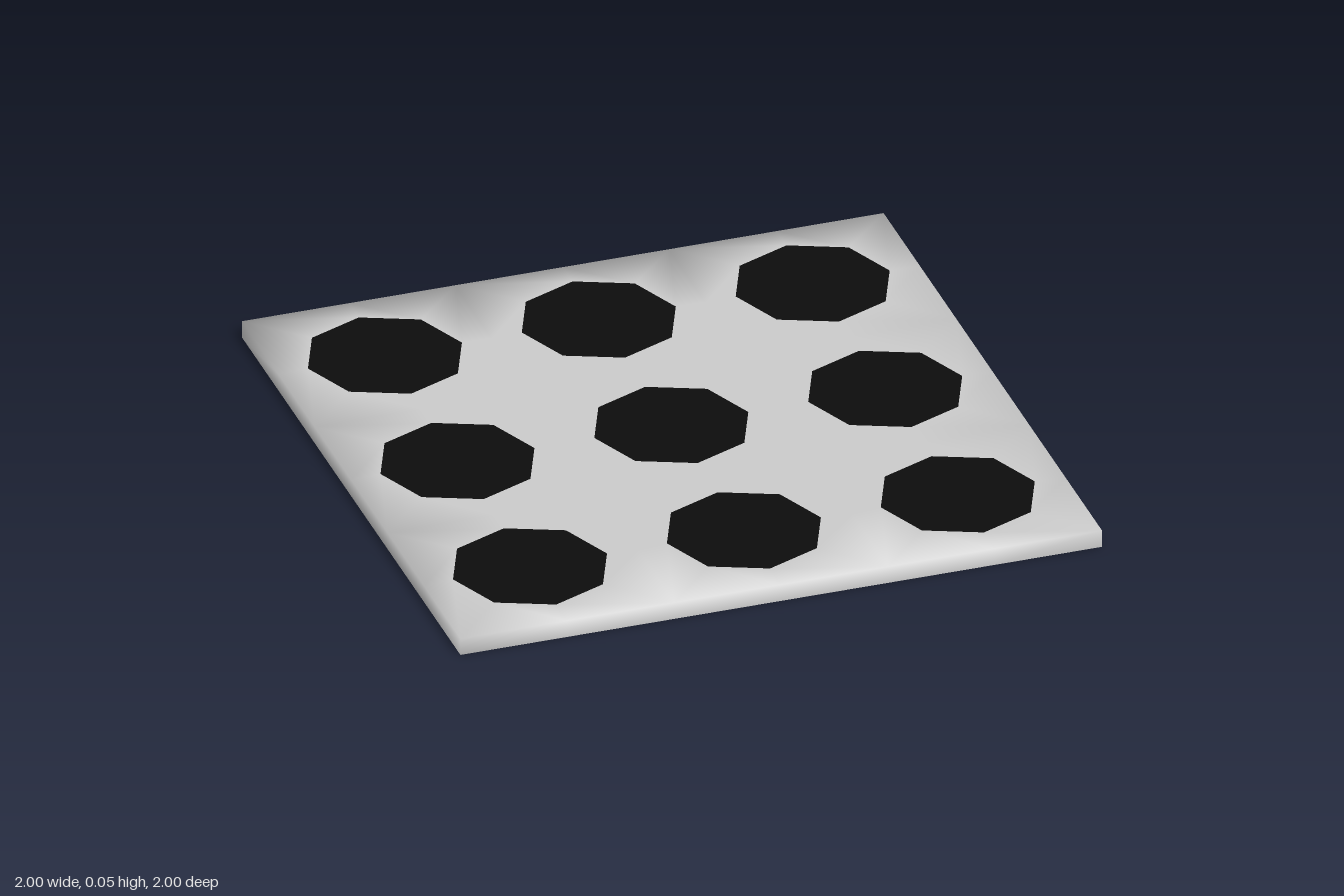
import * as THREE from 'three';

const H = 0.055;         // tray height
const R = 0.24;          // octagon radius
const CELL = 2 / 3;
const STEP_Z = 0.664, SHIFT_Z = -0.006;

export function createModel() {
  const group = new THREE.Group();
  const grey = new THREE.MeshStandardMaterial({ color: 0xcccccc, side: THREE.DoubleSide });
  const black = new THREE.MeshStandardMaterial({ color: 0x0d0d0d, side: THREE.DoubleSide });

  const pos = [], nor = [];
  // Normals lean outward at the rim so that plate and walls blend smoothly.
  const out = (v) => (Math.abs(v) > 0.999 ? Math.sign(v) : 0);
  const tri = (...points) => {
    for (const [x, y, z] of points) {
      pos.push(x, y, z);
      nor.push(...new THREE.Vector3(out(x), y > 0 ? 1 : 0, out(z)).normalize().toArray());
    }
  };

  // Top plate: nine square cells, each a ring around an octagonal panel
  for (let i = -1; i <= 1; i++) {
    for (let j = -1; j <= 1; j++) {
      const px = i * CELL, pz = j * STEP_Z + SHIFT_Z;
      const ring = (k) => {
        const c = Math.cos(k * Math.PI / 4), s = Math.sin(k * Math.PI / 4);
        return [
          [px + R * c, H, pz + R * s],
          [(i + Math.round(c) / 2) * CELL, H, (j + Math.round(s) / 2) * CELL],
        ];
      };
      for (let k = 0; k < 8; k++) {
        const [a, b] = ring(k), [c, d] = ring(k + 1);
        tri(a, c, b);
        tri(c, d, b);
      }
      const panel = new THREE.Mesh(new THREE.CircleGeometry(R, 8).rotateX(-Math.PI / 2), black);
      panel.position.set(px, H, pz);
      panel.name = 'octagonPanel';
      group.add(panel);
    }
  }

  // Four low side walls, open underneath
  for (let side = 0; side < 4; side++) {
    const c = [1, 0, -1, 0][side], s = [0, 1, 0, -1][side];
    const at = (n, y) => {
      const t = -1 + n / 3;
      return [c - s * t, y, s + c * t];
    };
    for (let n = 0; n < 6; n++) {
      tri(at(n, 0), at(n, H), at(n + 1, 0));
      tri(at(n + 1, 0), at(n, H), at(n + 1, H));
    }
  }

  const geometry = new THREE.BufferGeometry();
  geometry.setAttribute('position', new THREE.Float32BufferAttribute(pos, 3));
  geometry.setAttribute('normal', new THREE.Float32BufferAttribute(nor, 3));
  const tray = new THREE.Mesh(geometry, grey);
  tray.name = 'trayShell';
  group.add(tray);
  return group;
}
